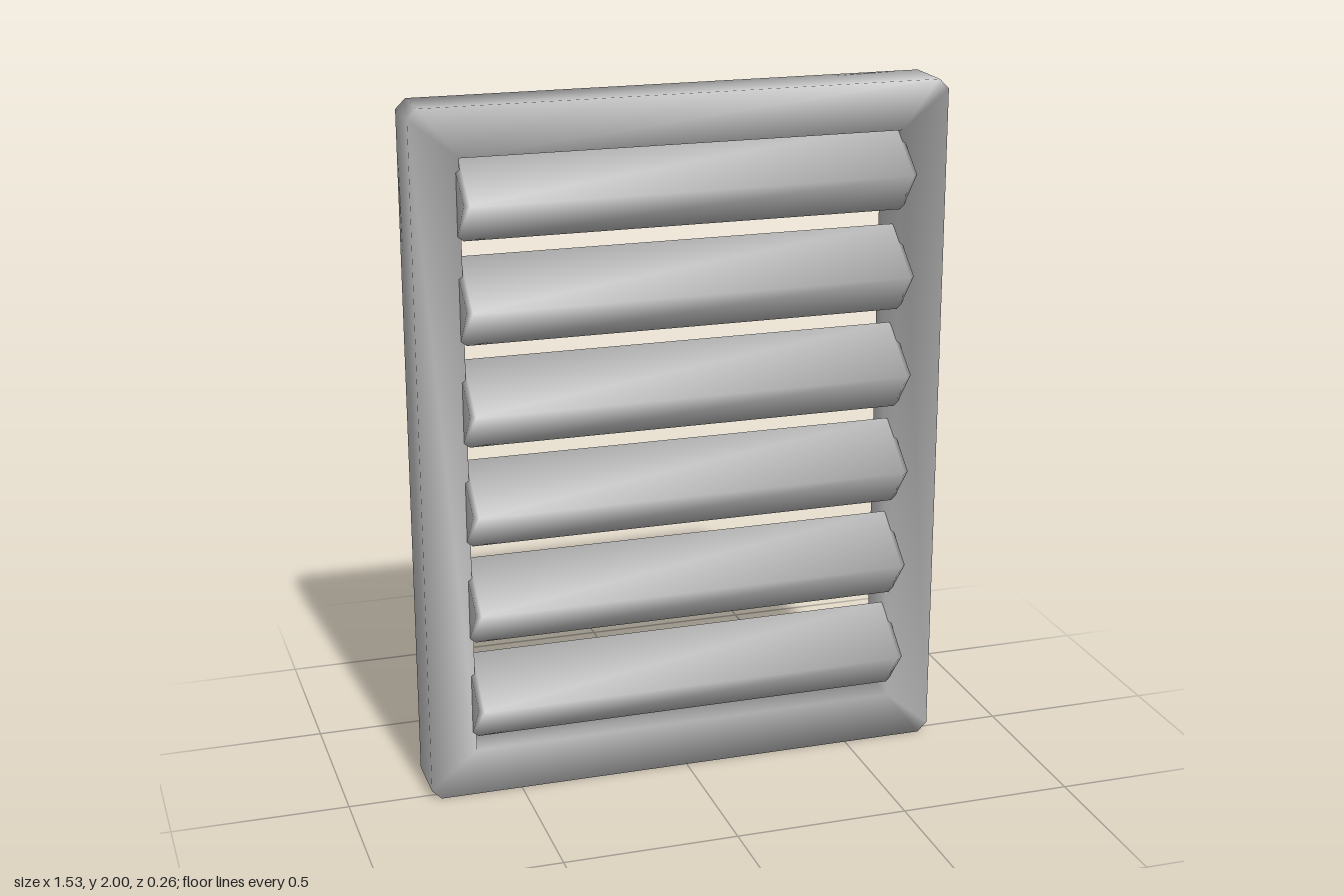
import * as THREE from 'three';
import { mergeVertices } from 'three/addons/utils/BufferGeometryUtils.js';

// Skins a run of equal-sized cross-sections; either closed into a ring or capped at both ends.
function loft(rings, closed) {
  const n = rings[0].length, m = rings.length, index = [];
  for (let i = 0; i < (closed ? m : m - 1); i++) {
    for (let j = 0; j < n; j++) {
      const a = i * n + j, d = i * n + (j + 1) % n;
      const b = ((i + 1) % m) * n + j, c = ((i + 1) % m) * n + (j + 1) % n;
      index.push(a, b, c, a, c, d);
    }
  }
  if (!closed) {
    const e = (m - 1) * n;
    for (let k = 1; k < n - 1; k++) index.push(0, k, k + 1, e, e + k + 1, e + k);
  }
  const geo = new THREE.BufferGeometry();
  geo.setAttribute('position', new THREE.Float32BufferAttribute(rings.flat(2), 3));
  geo.setIndex(index);
  const merged = mergeVertices(geo, 1e-5);
  merged.computeVertexNormals();
  return merged;
}

export function createModel() {
  const model = new THREE.Group();
  model.name = 'louvredShutter';
  const grey = new THREE.MeshStandardMaterial({ color: 0xb3b3b3 });
  grey.name = 'plain grey';

  // Mitred frame, with the four outer corners clipped
  const outerX = 0.765, innerX = 0.63, midY = 1.0025;
  const outerY = 0.9975, innerY = 0.86;
  const front = 0.03, back = -0.13, clip = 0.028;
  const stations = [];
  for (const [sx, sy] of [[-1, -1], [1, -1], [1, 1], [-1, 1]]) {
    const pair = [[clip, 0], [0, clip]].map(([cx, cy]) => {
      const ox = sx * (outerX - cx), oy = midY + sy * (outerY - cy);
      const ix = sx * innerX, iy = midY + sy * innerY;
      return [[ox, oy, back], [ox, oy, front], [ix, iy, front], [ix, iy, back]];
    });
    // keep the two clip points in counterclockwise order
    if (sx * sy > 0) pair.reverse();
    stations.push(...pair);
  }
  const frame = new THREE.Mesh(loft(stations, true), grey);
  frame.name = 'frame';
  model.add(frame);

  // Thick tilted slat: [z, y] section, ends slightly tapered
  const section = [[0.035, -0.118], [0.13, -0.003], [-0.02, 0.118], [-0.118, 0.0]];
  const slatRings = [[-0.64, 0.9], [-0.625, 1], [0.625, 1], [0.64, 0.9]].map(
    ([x, s]) => section.map(([z, y]) => [x, y * s, z * s]));
  const slatGeometry = loft(slatRings, false);
  const slats = new THREE.Group();
  slats.name = 'slats';
  for (let i = 0; i < 6; i++) {
    const slat = new THREE.Mesh(slatGeometry, grey);
    slat.name = 'slat' + (i + 1);
    slat.position.y = 0.307 + i * 0.29;
    slats.add(slat);
  }
  model.add(slats);
  return model;
}
